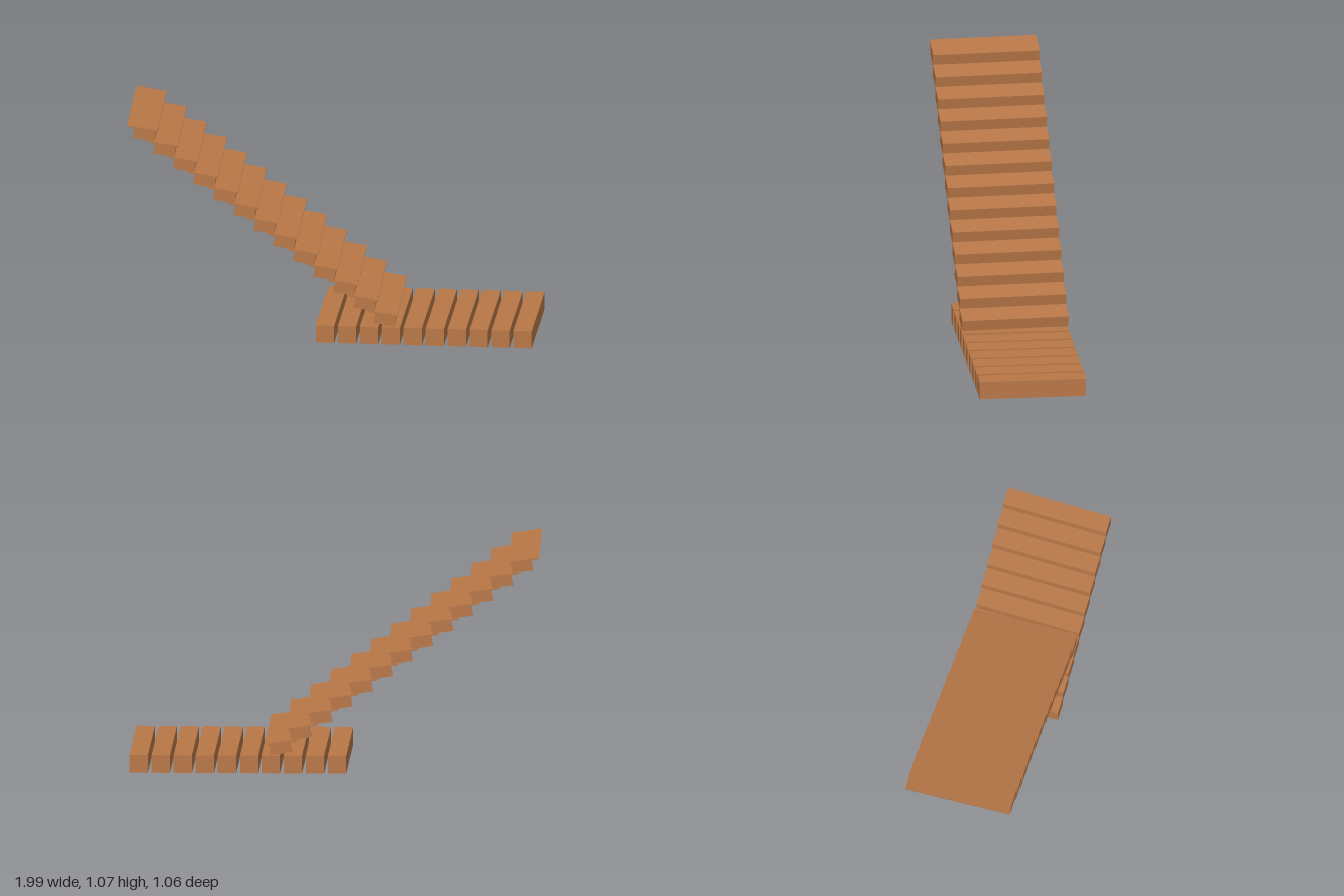
import * as THREE from 'three';

const WIDTH = 0.505; // plank length across the stair
const SKIRT = 0.004; // thickness of the side boards

// Extrudes a side profile across the stair, centred on z
function extrudeProfile(points, depth) {
  const shape = new THREE.Shape(points.map(([x, y]) => new THREE.Vector2(x, y)));
  const geometry = new THREE.ExtrudeGeometry(shape, { depth, bevelEnabled: false });
  geometry.translate(0, 0, -depth / 2);
  return geometry;
}

export function createModel() {
  const model = new THREE.Group();
  model.name = 'staircase';
  const wood = new THREE.MeshStandardMaterial({ color: 0xb87747 });
  wood.name = 'warm wood';

  const addPart = (parent, name, geometry, z = 0) => {
    const mesh = new THREE.Mesh(geometry, wood);
    mesh.name = name;
    mesh.position.z = z;
    parent.add(mesh);
    return mesh;
  };

  // Landing: ten separate square planks, each turned slightly in its row
  const landing = new THREE.Group();
  landing.name = 'landing';
  model.add(landing);
  const plankGeometry = new THREE.BoxGeometry(0.086, 0.086, WIDTH);
  for (let i = 0; i < 10; i++) {
    const plank = addPart(landing, `landingPlank${i + 1}`, plankGeometry);
    plank.position.set(0.874 - i * 0.0991, 0.043, 0.279 - i * 0.0302);
    plank.rotation.y = -0.344;
  }

  // Flight of thirteen hollow steps, open at the back and underneath
  const flight = new THREE.Group();
  flight.name = 'flight';
  flight.rotation.y = -0.308;
  model.add(flight);

  const treadGeometry = extrudeProfile([[0, 0], [0.001, -0.008], [0.142, -0.031], [0.143, -0.023]], WIDTH);
  const riserGeometry = extrudeProfile([[0.134, -0.029], [0.13, -0.028], [0.123, -0.077], [0.127, -0.078]], WIDTH);
  const skirtGeometry = extrudeProfile([[0.036, -0.013], [0.027, -0.062], [0.126, -0.078], [0.134, -0.029]], SKIRT);

  for (let i = 0; i < 13; i++) {
    const step = new THREE.Group();
    step.name = `step${13 - i}`;
    step.position.set(-0.9575 + i * 0.0945, 1.067 - i * 0.0749, 0.005);
    addPart(step, 'tread', treadGeometry);
    addPart(step, 'riser', riserGeometry);
    for (const side of [-1, 1]) {
      addPart(step, side < 0 ? 'rightSkirt' : 'leftSkirt', skirtGeometry, side * (WIDTH - SKIRT) / 2);
    }
    flight.add(step);
  }
  return model;
}
